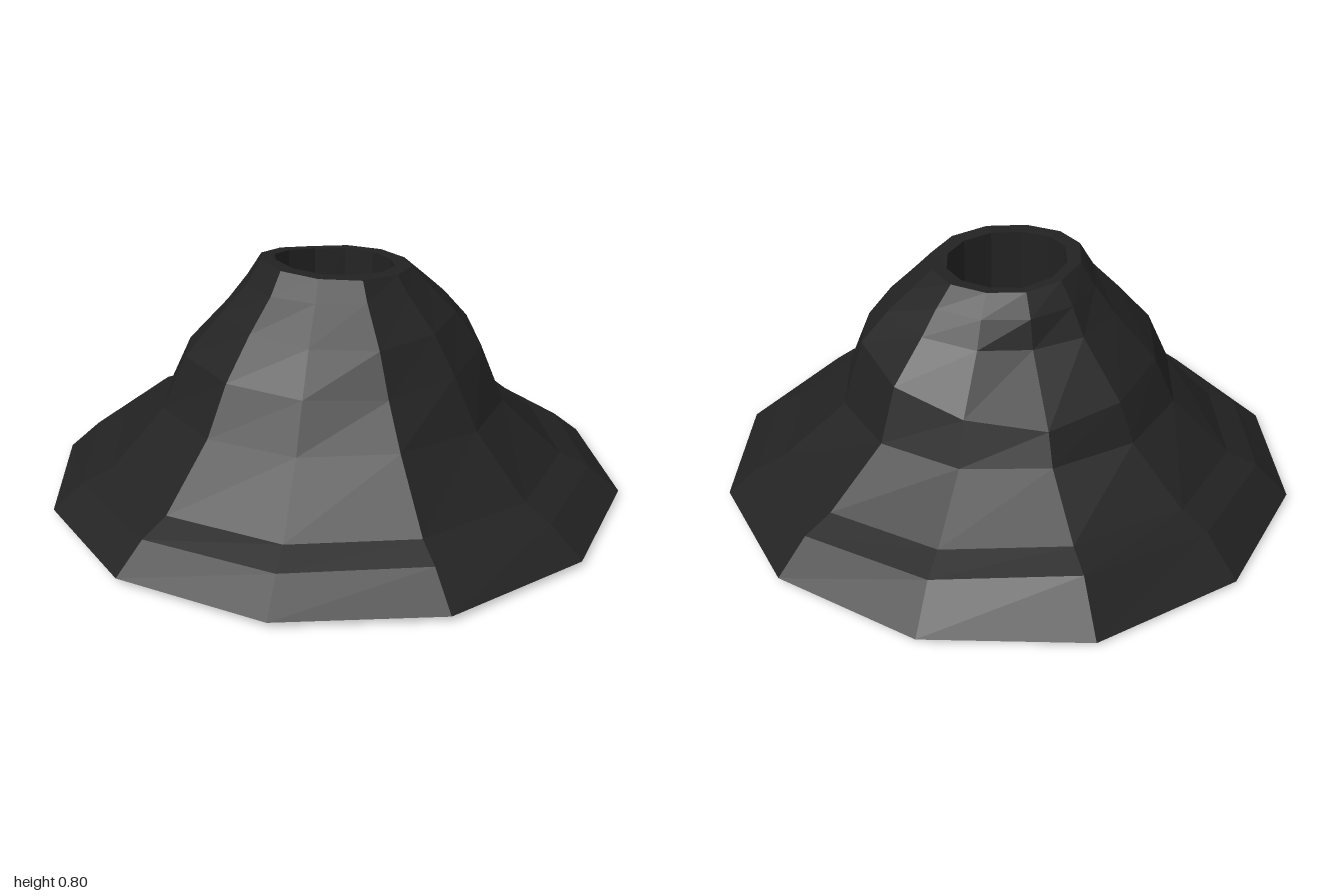
import * as THREE from 'three';

const SIDES = 12;

// Cross-section rings: radius and height toward front, left, back, right.
const SLOPE = [
  { r: [0.99, 0.97, 1.0, 0.97], y: [0.02, 0.02, 0.01, 0.02] },
  { r: [0.87, 0.87, 0.87, 0.87], y: [0.11, 0.10, 0.15, 0.10] },
  { r: [0.78, 0.77, 0.77, 0.77], y: [0.15, 0.14, 0.18, 0.14] },
  { r: [0.60, 0.56, 0.55, 0.59], y: [0.34, 0.31, 0.31, 0.33] },
  { r: [0.50, 0.49, 0.50, 0.51], y: [0.47, 0.53, 0.41, 0.50] },
  { r: [0.42, 0.40, 0.32, 0.39], y: [0.60, 0.63, 0.60, 0.63] },
  { r: [0.31, 0.32, 0.29, 0.30], y: [0.72, 0.70, 0.69, 0.72] },
  { r: [0.27, 0.25, 0.24, 0.25], y: [0.78, 0.76, 0.76, 0.80] },
];
const RIM = { r: [0.205, 0.20, 0.205, 0.20], y: [0.78, 0.76, 0.76, 0.795] };
const FLOOR = { r: [0.205, 0.20, 0.205, 0.20], y: [0.56, 0.56, 0.56, 0.56] };
const CENTRE = { r: [0, 0, 0, 0], y: [0, 0, 0, 0] };

// Point on a ring, blended between the four directions
function ringPoint(ring, j) {
  const t = ((j % SIDES) / SIDES) * 4;
  const k = Math.floor(t), f = t - k;
  const mix = (a) => a[k] * (1 - f) + a[(k + 1) % 4] * f;
  const angle = (j / SIDES) * Math.PI * 2;
  const r = mix(ring.r);
  return [r * Math.sin(angle), mix(ring.y), r * Math.cos(angle)];
}

// Faceted skin joining a list of rings
function skin(rings) {
  const pos = [];
  for (let i = 0; i < rings.length - 1; i++) {
    for (let j = 0; j < SIDES; j++) {
      const a = ringPoint(rings[i], j), b = ringPoint(rings[i], j + 1);
      const c = ringPoint(rings[i + 1], j + 1), d = ringPoint(rings[i + 1], j);
      if (rings[i] !== CENTRE) pos.push(...a, ...b, ...c);
      pos.push(...a, ...c, ...d);
    }
  }
  const geo = new THREE.BufferGeometry();
  geo.setAttribute('position', new THREE.Float32BufferAttribute(pos, 3));
  geo.computeVertexNormals();
  return geo;
}

export function createModel() {
  const model = new THREE.Group();
  model.name = 'volcano';

  const rock = new THREE.MeshStandardMaterial({ color: 0x222222 });
  rock.name = 'dark rock';
  rock.flatShading = true;
  const lava = new THREE.MeshStandardMaterial({ color: 0xcc6b0f });
  lava.name = 'orange lava';

  const add = (name, geo, mat) => {
    const mesh = new THREE.Mesh(geo, mat);
    mesh.name = name;
    model.add(mesh);
    return mesh;
  };

  add('underside', skin([CENTRE, SLOPE[0]]), rock);
  add('mountainSlope', skin(SLOPE), rock);
  add('craterRim', skin([SLOPE[SLOPE.length - 1], RIM]), rock);
  add('craterWall', skin([RIM, FLOOR]), rock);

  // Lava pool inside the crater
  const pool = add('lavaPool', new THREE.CircleGeometry(0.206, SIDES), lava);
  pool.rotation.x = -Math.PI / 2;
  pool.position.y = 0.57;

  return model;
}
